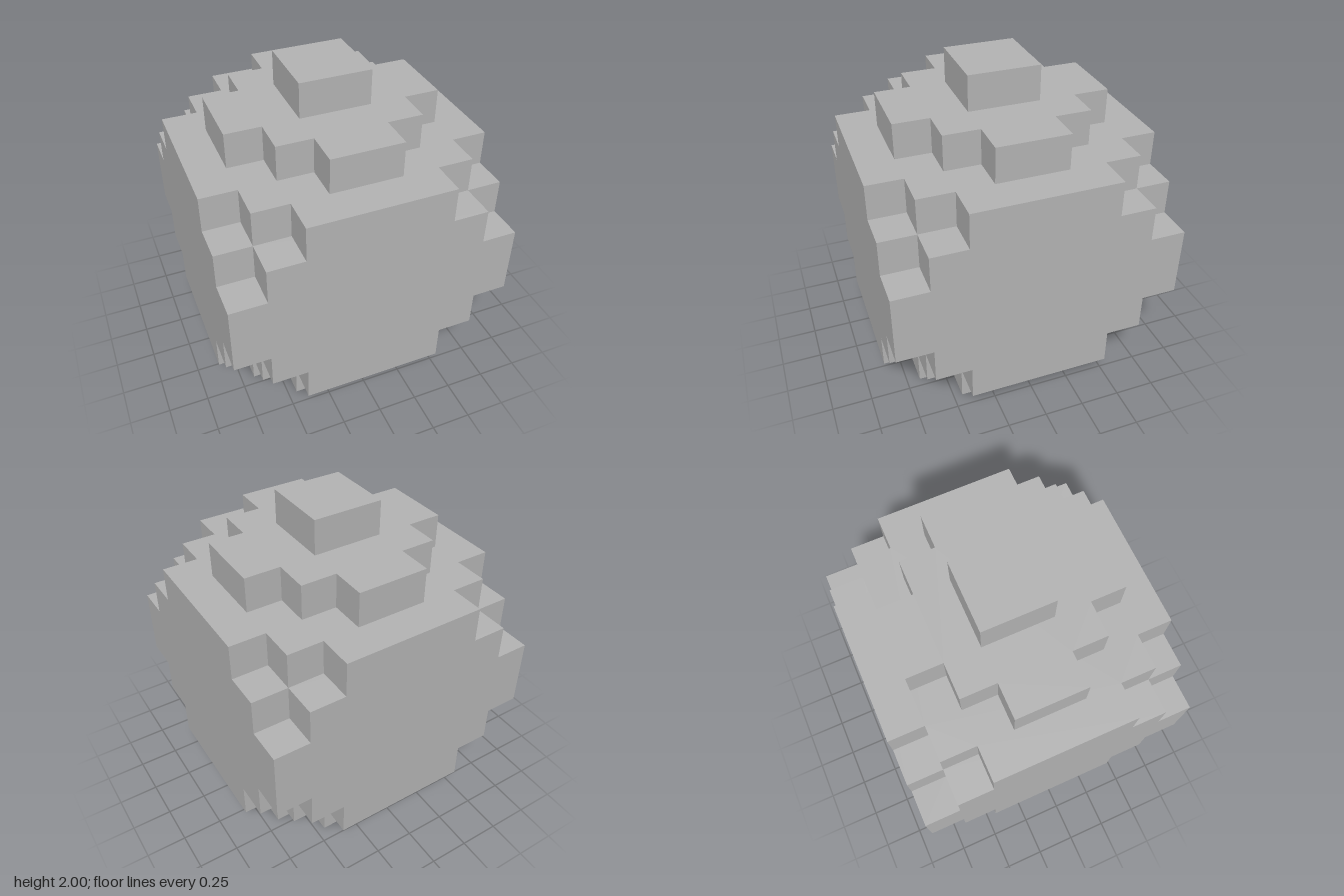
import * as THREE from 'three';

const U = 2 / 9; // edge of one cube unit

// Each layer: start height, height and quarter outline in units.
// The outline lists [x, z] outer corners from the front edge round to the side.
const LAYERS = [
  { name: 'base', y: 0, h: 1, steps: [[2, 3], [3, 2]] },
  { name: 'lowerStep', y: 1, h: 1, steps: [[2, 4], [3, 3], [4, 2]] },
  { name: 'lowerBand', y: 2, h: 1, steps: [[3, 4], [4, 3]] },
  { name: 'middle', y: 3, h: 2, steps: [[4, 4]] },
  { name: 'upperBand', y: 5, h: 1, steps: [[3, 4], [4, 3]] },
  { name: 'upperStep', y: 6, h: 1, steps: [[2, 4], [3, 3], [4, 2]] },
  { name: 'crown', y: 7, h: 1, steps: [[1, 3], [2, 2], [3, 1]] },
  { name: 'topBlock', y: 8, h: 1, steps: [[1, 1]] },
];

// Mirror the stepped quarter outline into a closed symmetric shape
function steppedShape(steps) {
  const quarter = [];
  steps.forEach(([x, z], i) => {
    if (i > 0) quarter.push([steps[i - 1][0], z]); // inner corner
    quarter.push([x, z]);
  });
  const reversed = [...quarter].reverse();
  const outline = [
    ...quarter,
    ...reversed.map(([x, z]) => [x, -z]),
    ...quarter.map(([x, z]) => [-x, -z]),
    ...reversed.map(([x, z]) => [-x, z]),
  ];
  return new THREE.Shape(outline.map(([x, z]) => new THREE.Vector2(x * U, z * U)));
}

export function createModel() {
  const model = new THREE.Group();
  model.name = 'blockSphere';
  const grey = new THREE.MeshStandardMaterial({ color: 0xb3b3b3 });
  grey.name = 'grey';

  // Stack the layers from the ground up
  for (const { name, y, h, steps } of LAYERS) {
    const geometry = new THREE.ExtrudeGeometry(steppedShape(steps), {
      depth: h * U,
      bevelEnabled: false,
    });
    geometry.rotateX(-Math.PI / 2);
    const layer = new THREE.Mesh(geometry, grey);
    layer.name = name;
    layer.position.y = y * U;
    model.add(layer);
  }
  return model;
}
